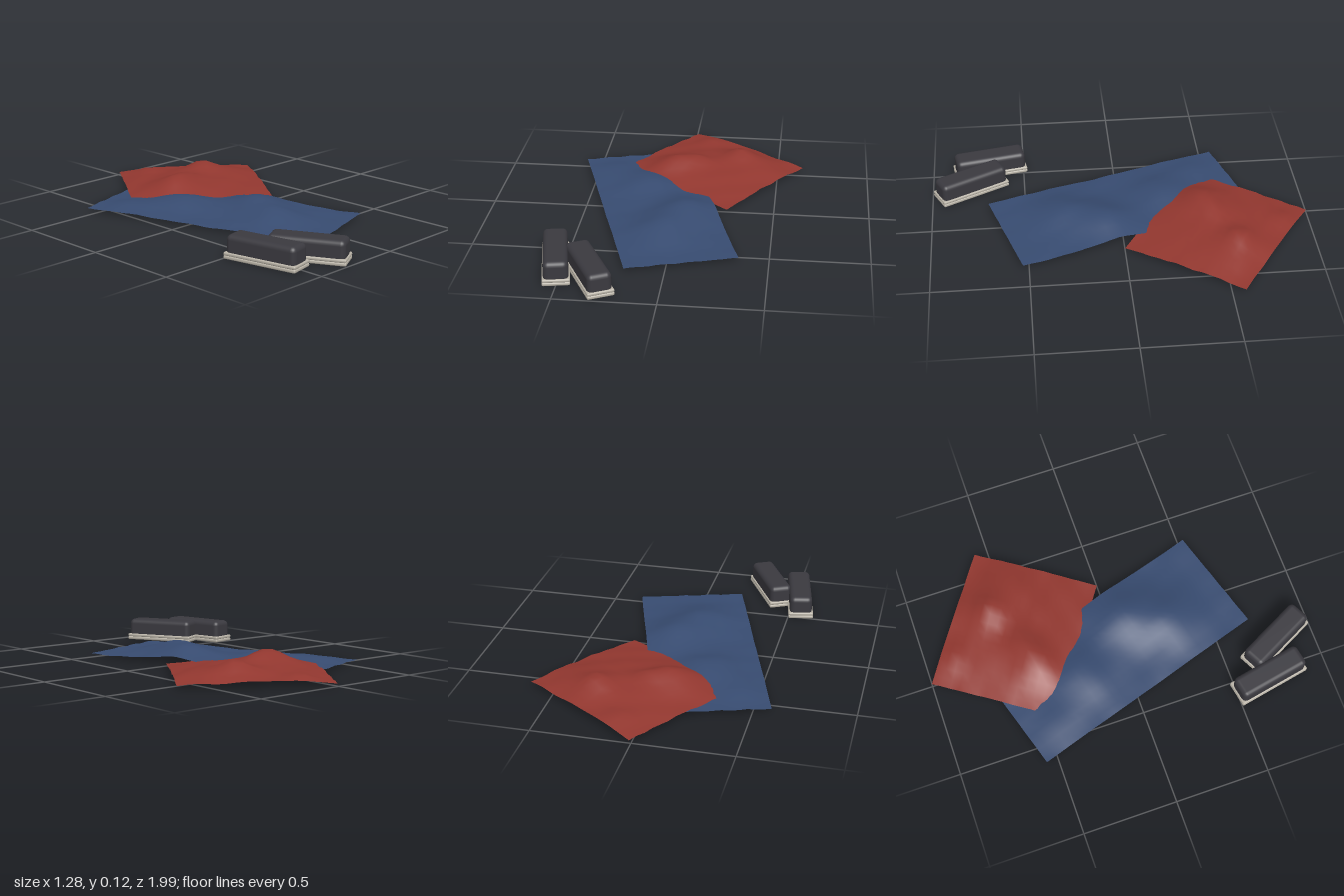
import * as THREE from 'three';
import { RoundedBoxGeometry } from 'three/addons/geometries/RoundedBoxGeometry.js';

const flat = (name, color, side = THREE.FrontSide) => {
  const m = new THREE.MeshStandardMaterial({ color, side });
  m.name = name;
  return m;
};

// Rumpled sheet: a turned grid lifted by soft bumps [x, z, height, radius] and fine wrinkles
function cloth(name, material, { width, length, cols, rows, x, z, turn, base, bumps, wrinkle }) {
  const geo = new THREE.PlaneGeometry(width, length, cols, rows);
  geo.rotateX(-Math.PI / 2).rotateY(turn).translate(x, 0, z);
  const p = geo.attributes.position;
  for (let i = 0; i < p.count; i++) {
    const px = p.getX(i), pz = p.getZ(i);
    let y = base;
    for (const [bx, bz, h, r] of bumps) {
      y += h * Math.exp(-((px - bx) ** 2 + (pz - bz) ** 2) / (r * r));
    }
    y += wrinkle * (Math.sin(px * 23 + pz * 9) * Math.sin(pz * 27 - px * 11) + 0.6 * Math.sin(px * 41 - pz * 35));
    p.setY(i, Math.max(y, 0.002));
  }
  geo.computeVertexNormals();
  const mesh = new THREE.Mesh(geo, material);
  mesh.name = name;
  return mesh;
}

// Blocky shoe: rounded upper on a two-layer sole
function shoe(name, upperMat, soleMat, x, z, turn) {
  const group = new THREE.Group();
  group.name = name;
  const add = (part, mat, w, h, l, y, seg, r) => {
    const mesh = new THREE.Mesh(new RoundedBoxGeometry(w, h, l, seg, r), mat);
    mesh.name = part;
    mesh.position.y = y;
    group.add(mesh);
  };
  add('upper', upperMat, 0.122, 0.108, 0.382, 0.066, 3, 0.026);
  add('outsole', soleMat, 0.136, 0.018, 0.396, 0.009, 2, 0.007);
  add('midsole', soleMat, 0.136, 0.017, 0.396, 0.0255, 2, 0.007);
  group.position.set(x, 0, z);
  group.rotation.y = turn;
  return group;
}

export function createModel() {
  const blue = flat('blue cloth', 0x374b70, THREE.DoubleSide);
  const red = flat('red cloth', 0x92372f, THREE.DoubleSide);
  const dark = flat('dark upper', 0x3a393f);
  const sole = flat('pale sole', 0xb8b2a6);

  const model = new THREE.Group();
  model.name = 'clothesPile';

  // Long sheet underneath
  model.add(cloth('blueCloth', blue, {
    width: 0.575, length: 1.32, cols: 14, rows: 30, x: -0.12, z: -0.015, turn: 0.3,
    base: 0.015, wrinkle: 0.0025,
    bumps: [[0.04, 0.07, 0.065, 0.16], [-0.06, 0.3, 0.055, 0.16], [-0.2, -0.25, 0.05, 0.16], [-0.4, -0.42, 0.02, 0.12]],
  }));

  // Squarer sheet draped over its far end
  model.add(cloth('redCloth', red, {
    width: 0.763, length: 0.69, cols: 16, rows: 14, x: 0.13, z: -0.5, turn: -0.599,
    base: 0.007, wrinkle: 0.004,
    bumps: [[0.13, -0.5, 0.06, 0.35], [0.29, -0.6, 0.055, 0.08], [-0.09, -0.44, 0.06, 0.12],
      [0.04, -0.49, 0.03, 0.07], [0.4, -0.5, 0.024, 0.12], [0.1, -0.86, 0.022, 0.08]],
  }));

  // Pair of shoes lying side by side
  model.add(shoe('outerShoe', dark, sole, -0.535, 0.685, 0.19));
  model.add(shoe('innerShoe', dark, sole, -0.355, 0.79, 0.47));
  return model;
}
